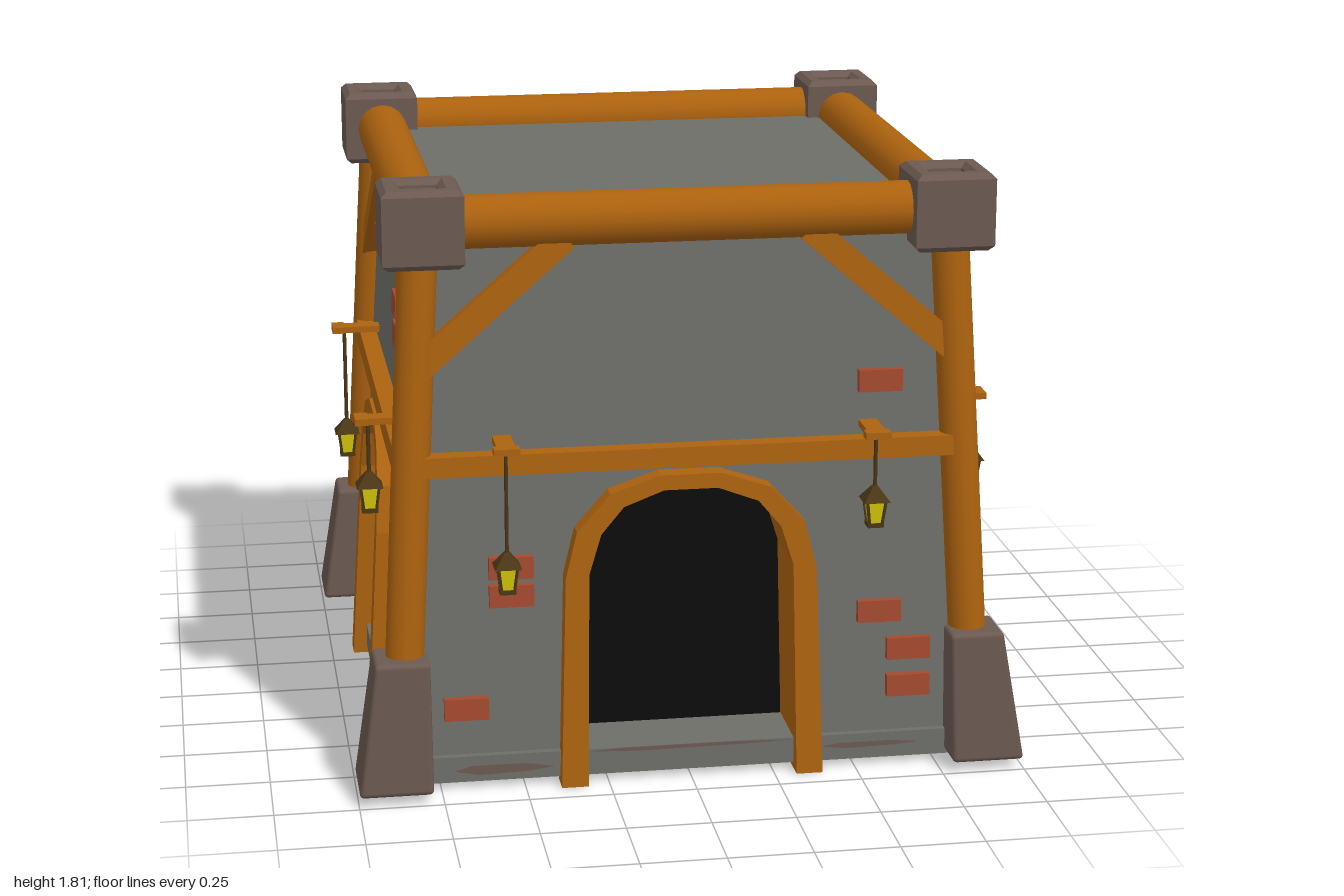
import * as THREE from 'three';
import { RoundedBoxGeometry } from 'three/addons/geometries/RoundedBoxGeometry.js';

const mat = (name, color, double) => {
  const m = new THREE.MeshStandardMaterial({ color });
  m.name = name;
  if (double) m.side = THREE.DoubleSide;
  return m;
};

const BASE = 0.87, SLOPE = 0.06;
const wallZ = (y) => BASE - SLOPE * y;

// Moves a geometry built on z = 0 onto the leaning wall face
function slant(geo) {
  const p = geo.attributes.position;
  for (let i = 0; i < p.count; i++) p.setZ(i, p.getZ(i) + wallZ(p.getY(i)));
  geo.computeVertexNormals();
  return geo;
}

const box = (w, h, d, x, y, z) => new THREE.BoxGeometry(w, h, d).translate(x, y, z);
const poly = (pts) => new THREE.Shape(pts.map(([x, y]) => new THREE.Vector2(x, y)));
const extrude = (shape, depth, z, bevel = 0) => new THREE.ExtrudeGeometry(shape, {
  depth: depth - 2 * bevel, bevelEnabled: bevel > 0, bevelSize: bevel,
  bevelThickness: bevel, bevelOffset: -bevel, bevelSegments: 1,
}).translate(0, 0, z + bevel);

// Full arch outline from its right half, bottom to top
const mirrored = (half) => [...half, ...half.slice().reverse().map(([x, y]) => [-x, y])];
const OUTER = mirrored([[0.395, 0.01], [0.375, 0.65], [0.34, 0.79], [0.24, 0.9], [0.09, 0.95]]);
const LINING = mirrored([[0.337, 0.01], [0.327, 0.66], [0.288, 0.79], [0.215, 0.878], [0.085, 0.926]]);
const INNER = mirrored([[0.315, 0.01], [0.305, 0.66], [0.268, 0.78], [0.2, 0.86], [0.08, 0.905]]);
const archBand = (a, b) => poly([...a, ...b.slice().reverse()]);

// Per side, in its own frame: lamps [x, bottom], bricks [x, y]
const HIGH = 0.78, LOW = 0.63;
const SIDES = [
  { name: 'front', turn: 0, lamps: [[-0.55, LOW], [0.54, HIGH]],
    bricks: [[0.575, 1.195], [-0.53, 0.68], [-0.53, 0.595], [-0.67, 0.255], [0.575, 0.49], [0.665, 0.37], [0.665, 0.255]] },
  { name: 'left', turn: Math.PI / 2, lamps: [[-0.55, HIGH], [0.54, LOW]],
    bricks: [[-0.25, 1.34], [-0.315, 1.26], [0.505, 1.38], [0.65, 0.885], [0.58, 0.81], [-0.525, 0.165]] },
  { name: 'back', turn: Math.PI, gate: true, lamps: [[-0.58, HIGH], [0.58, LOW]],
    bricks: [[-0.27, 1.34], [0.55, 0.84], [0.6, 0.76], [0.7, 0.15]] },
  { name: 'right', turn: -Math.PI / 2, lamps: [[-0.54, LOW], [0.55, HIGH]],
    bricks: [[0.25, 1.34], [0.315, 1.26], [-0.505, 1.38], [0.525, 0.165]] },
];

export function createModel() {
  const wall = mat('wall grey', 0x6e6e69, true);
  const wood = mat('wood', 0xac620f);
  const block = mat('brown stone', 0x6c5a52);
  const brick = mat('brick red', 0xa34a30);
  const stone = mat('arch stone', 0x6f7375);
  const iron = mat('iron', 0x5c5f63);
  const dark = mat('dark opening', 0x0b0b0b, true);
  const glass = mat('blue glass', 0x0c47b8);
  const glow = mat('lamp yellow', 0xd6c806);
  const metal = mat('lamp brown', 0x4a3716);

  const model = new THREE.Group();
  const add = (parent, name, geo, material) => {
    const m = new THREE.Mesh(geo, material);
    m.name = name;
    parent.add(m);
    return m;
  };
  const strut = (parent, name, a, b, r) => {
    const from = new THREE.Vector3(...a), dir = new THREE.Vector3(...b).sub(from);
    const m = add(parent, name, new THREE.CylinderGeometry(r, r, dir.length(), 16), wood);
    m.position.copy(from).addScaledVector(dir, 0.5);
    m.quaternion.setFromUnitVectors(new THREE.Vector3(0, 1, 0), dir.normalize());
  };

  // Base slab and flat roof
  add(model, 'plinth', box(1.77, 0.08, 1.77, 0, 0.07, 0), wall);
  add(model, 'roof', box(1.53, 0.02, 1.53, 0, 1.69, 0), wall);

  for (const side of SIDES) {
    const g = new THREE.Group();
    g.name = side.name + 'Side';
    g.rotation.y = side.turn;
    model.add(g);

    // Leaning wall, open at the doorway
    const w0 = wallZ(0.03), w1 = wallZ(1.7);
    const face = poly([[-w0, 0.03], [w0, 0.03], [w1, 1.7], [-w1, 1.7]]);
    if (!side.gate) face.holes.push(poly(LINING.map(([x, y]) => [x, Math.max(y, 0.06)])));
    add(g, 'wall', slant(new THREE.ShapeGeometry(face)), wall);

    if (side.gate) { addGate(g); addWindow(g); }
    else {
      add(g, 'doorFrame', slant(extrude(archBand(OUTER, INNER), 0.07, -0.01)), wood);
      add(g, 'doorLining', slant(extrude(archBand(LINING, INNER), 0.25, -0.19)), wood);
      add(g, 'doorway', slant(new THREE.ShapeGeometry(poly(LINING.map(([x, y]) => [x, Math.max(y, 0.1)]))).translate(0, 0, -0.185)), dark);
    }

    // Timber: rail, diagonal braces, top beam, corner post
    add(g, 'rail', slant(box(1.6, 0.06, 0.07, 0, 1, 0.02)), wood);
    for (const s of [-1, 1]) {
      const b = add(g, 'brace', new THREE.BoxGeometry(0.56, 0.078, 0.06), wood);
      b.position.set(s * 0.57, 1.475, wallZ(1.475) + 0.015);
      b.rotation.set(-SLOPE, 0, -s * 0.71);
    }
    strut(g, 'topBeam', [-0.77, 1.705, 0.77], [0.77, 1.705, 0.77], 0.079);
    strut(g, 'post', [0.855, 0.3, 0.855], [0.78, 1.64, 0.78], 0.057);

    // Tapered corner foot, upright on its inner faces
    const foot = new RoundedBoxGeometry(0.22, 0.39, 0.22, 2, 0.015).translate(0.11, 0.195, 0.11);
    const p = foot.attributes.position;
    for (let i = 0; i < p.count; i++) {
      const k = 1 - 0.27 * p.getY(i) / 0.39;
      p.setXYZ(i, 0.78 + p.getX(i) * k, p.getY(i) + 0.04, 0.78 + p.getZ(i) * k);
    }
    add(g, 'foot', foot, block);

    // Corner cap with a sunken square on top
    const h = 0.1175, c = 0.055;
    const capShape = poly([[-h, -h], [h, -h], [h, h], [-h, h]]);
    capShape.holes.push(poly([[-c, -c], [-c, c], [c, c], [c, -c]]));
    const cap = extrude(capShape, 0.23, 0, 0.016).rotateX(-Math.PI / 2).translate(0.772, 1.59, 0.772);
    add(g, 'cap', cap, block);
    add(g, 'capCore', box(0.13, 0.19, 0.13, 0.772, 1.7, 0.772), block);

    for (const [x, y] of side.bricks) add(g, 'brick', slant(box(0.132, 0.066, 0.04, x, y, 0.005)), brick);
    for (const [x, y] of side.lamps) addLamp(g, x, y);
  }

  // Worn patches along the front of the plinth
  const front = model.getObjectByName('frontSide');
  for (const [x, y, w, h] of [[-0.56, 0.065, 0.3, 0.03], [0, 0.104, 0.62, 0.012], [0.55, 0.075, 0.3, 0.018]]) {
    const patch = poly([[x - w / 2, y], [x - w / 4, y - h / 2], [x + w / 4, y - h / 3], [x + w / 2, y], [x + w / 5, y + h / 2], [x - w / 3, y + h / 2]]);
    add(front, 'wornPatch', extrude(patch, 0.004, 0.884), block);
  }
  return model;

  // Hanging lantern on a wooden bracket
  function addLamp(g, x, y) {
    const lamp = new THREE.Group();
    lamp.name = 'lamp';
    lamp.position.set(x, 0, 0.92);
    g.add(lamp);
    add(lamp, 'bracket', box(0.055, 0.02, 0.15, 0, 1.065, -0.045), wood);
    add(lamp, 'bracketEnd', box(0.076, 0.02, 0.04, 0, 1.066, 0.02), wood);
    add(lamp, 'rod', new THREE.CylinderGeometry(0.006, 0.006, 0.95 - y, 6).translate(0, (1.06 + y + 0.11) / 2, 0), metal);
    const square = (rt, rb, hh, yy) => new THREE.CylinderGeometry(rt, rb, hh, 4).rotateY(Math.PI / 4).toNonIndexed().translate(0, yy, 0);
    const part = (name, geo, m) => { geo.computeVertexNormals(); add(lamp, name, geo, m); };
    part('lampRoof', square(0.01, 0.056, 0.045, y + 0.1025), metal);
    part('lampGlass', square(0.038, 0.026, 0.07, y + 0.047), glow);
    part('lampBase', square(0.034, 0.034, 0.013, y + 0.0065), metal);
    for (const sx of [-1, 1]) for (const sz of [-1, 1]) {
      const bar = add(lamp, 'lampBar', new THREE.BoxGeometry(0.008, 0.075, 0.008), metal);
      bar.position.set(sx * 0.023, y + 0.046, sz * 0.023);
      bar.rotation.set(sz * 0.12, 0, -sx * 0.12);
    }
  }

  // Round window above the gate
  function addWindow(g) {
    const win = new THREE.Group();
    win.name = 'roundWindow';
    win.position.set(0, 1.33, wallZ(1.33));
    win.rotation.x = -SLOPE;
    g.add(win);
    const ring = new THREE.Shape().absarc(0, 0, 0.243, 0, Math.PI * 2);
    ring.holes.push(new THREE.Path().absarc(0, 0, 0.19, 0, Math.PI * 2, true));
    add(win, 'windowFrame', extrude(ring, 0.08, -0.02, 0.01), wood);
    add(win, 'windowGlass', new THREE.CircleGeometry(0.205, 32).translate(0, 0, 0.02), glass);
  }

  // Plank gate in a rough stone arch
  function addGate(g) {
    const spring = 0.6;
    const top = (x) => spring + 0.43 * Math.sqrt(1 - (x / 0.48) ** 2);
    for (let i = 0; i < 6; i++) {
      const a = -0.44 + i * 0.1467, b = a + 0.14, m = (a + b) / 2;
      const plank = poly([[a, 0.015], [b, 0.015], [b, top(b)], [m, top(m)], [a, top(a)]]);
      add(g, 'plank', extrude(plank, 0.06, 0.84 + (i % 2) * 0.006, 0.006), wood);
    }
    add(g, 'plankGap', box(0.86, 0.62, 0.02, 0, 0.34, 0.87), dark);
    add(g, 'floorGap', box(0.8, 0.006, 0.1, 0, 0.029, 0.82), dark);

    let seed = 7;
    const rand = () => (seed = (seed * 16807) % 2147483647) / 2147483647;
    const stoneBlock = (pts) => add(g, 'archStone', extrude(poly(pts), 0.1 + rand() * 0.02, 0.85, 0.012), stone);
    // Side blocks
    for (const s of [-1, 1]) {
      const cuts = [0.01, 0.15, 0.32, 0.45, spring];
      for (let i = 0; i < 4; i++) {
        const xi = s * 0.43, xo = s * (0.52 + rand() * 0.02);
        const pts = [[xi, cuts[i]], [xo, cuts[i]], [xo, cuts[i + 1]], [xi, cuts[i + 1]]];
        stoneBlock(s > 0 ? pts : pts.reverse());
      }
    }
    // Arch blocks
    const n = 9;
    for (let i = 0; i < n; i++) {
      const t0 = Math.PI * i / n, t1 = Math.PI * (i + 1) / n, o = 0.525 + rand() * 0.015;
      const at = (r, t) => [r * Math.cos(t), spring + (r - 0.05) * Math.sin(t)];
      stoneBlock([at(0.42, t0), at(o, t0), at(o, t1), at(0.42, t1)]);
    }

    // Iron hinges, plate and bolt
    for (const s of [-1, 1]) for (const y of [0.17, 0.72]) {
      add(g, 'hinge', box(0.17, 0.035, 0.03, s * 0.36, y, 0.912), iron);
    }
    add(g, 'lockPlate', box(0.06, 0.08, 0.02, 0, 0.43, 0.91), iron);
    add(g, 'bolt', new THREE.CylinderGeometry(0.016, 0.016, 0.19, 10).rotateZ(Math.PI / 2).translate(0, 0.45, 0.93), iron);
    add(g, 'handle', new THREE.TorusGeometry(0.026, 0.008, 6, 14).translate(0, 0.4, 0.93), iron);
  }
}
